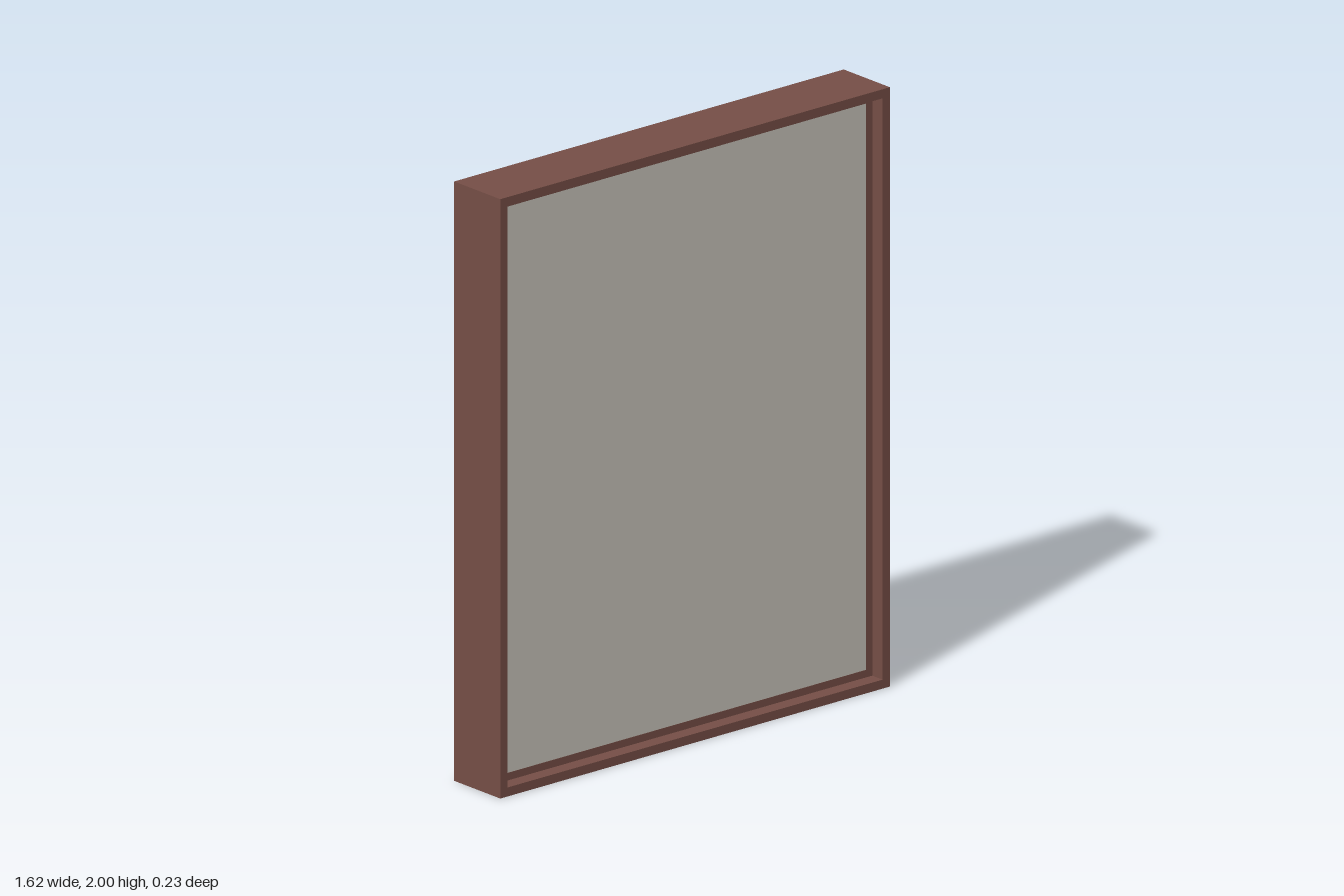
import * as THREE from 'three';

const HALF_W = 0.81, HEIGHT = 2;
const BACK = -0.105, FRONT = 0.117;

export function createModel() {
  const wood = new THREE.MeshStandardMaterial({ name: 'brown wood', color: 0x774f47 });
  const pale = new THREE.MeshStandardMaterial({ name: 'pale wood', color: 0xcdb28f });
  const pane = new THREE.MeshStandardMaterial({ name: 'pane grey', color: 0xcbc7be });
  const metal = new THREE.MeshStandardMaterial({ name: 'light metal', color: 0xcdcdc4 });

  const model = new THREE.Group();
  model.name = 'framedPanel';

  const add = (parent, name, geometry, material, x = 0, y = 0, z = 0) => {
    const mesh = new THREE.Mesh(geometry, material);
    mesh.name = name;
    mesh.position.set(x, y, z);
    parent.add(mesh);
    return mesh;
  };

  // Rectangle inset by a margin from the outer outline
  const rect = (C, m) => {
    const x = HALF_W - m, y0 = m, y1 = HEIGHT - m;
    return new C([[-x, y0], [x, y0], [x, y1], [-x, y1]].map(([a, b]) => new THREE.Vector2(a, b)));
  };

  // Rectangular ring between two margins, from depth z0 to z1
  const ring = (name, outer, inner, z0, z1, material) => {
    const shape = rect(THREE.Shape, outer);
    shape.holes.push(rect(THREE.Path, inner));
    const geometry = new THREE.ExtrudeGeometry(shape, { depth: z1 - z0, bevelEnabled: false });
    add(model, name, geometry, material, 0, 0, z0);
  };

  // Stepped frame: deep back body, narrow rebate, thin front lip
  ring('frameBody', 0, 0.19, BACK, 0.058, wood);
  ring('frameRebate', 0, 0.055, 0.058, 0.067, wood);
  ring('frontLip', 0, 0.03, 0.067, FRONT, wood);

  // Pale lining set a little way inside the back opening
  ring('innerLining', 0.19, 0.232, -0.07, 0.058, pale);

  // Panel seated in the rebate
  add(model, 'panel', new THREE.BoxGeometry(1.51, 1.89, 0.008), pane, 0, 1, 0.062);

  // Low arched pull: two feet and a bowed strap, built along x and rising along y
  const strapShape = new THREE.Shape();
  strapShape.moveTo(-0.083, 0);
  strapShape.lineTo(-0.083, 0.003);
  strapShape.lineTo(-0.07, 0.004);
  strapShape.quadraticCurveTo(-0.055, 0.0115, -0.035, 0.012);
  strapShape.lineTo(0.035, 0.012);
  strapShape.quadraticCurveTo(0.055, 0.0115, 0.07, 0.004);
  strapShape.lineTo(0.083, 0.003);
  strapShape.lineTo(0.083, 0);
  strapShape.lineTo(0.062, 0);
  strapShape.quadraticCurveTo(0.05, 0.008, 0.035, 0.0085);
  strapShape.lineTo(-0.035, 0.0085);
  strapShape.quadraticCurveTo(-0.05, 0.008, -0.062, 0);
  const strapGeometry = new THREE.ExtrudeGeometry(strapShape, { depth: 0.018, bevelEnabled: false, curveSegments: 5 });
  strapGeometry.translate(0, 0, -0.009).rotateX(-Math.PI / 2);
  const footGeometry = new THREE.BoxGeometry(0.022, 0.027, 0.004);
  const screwGeometry = new THREE.CylinderGeometry(0.005, 0.005, 0.003, 10).rotateX(Math.PI / 2);

  const addHandle = (name, x, y, turn) => {
    const handle = new THREE.Group();
    handle.name = name;
    handle.position.set(x, y, BACK);
    handle.rotation.z = turn;
    add(handle, 'strap', strapGeometry, metal);
    for (const s of [-1, 1]) {
      add(handle, 'foot', footGeometry, metal, s * 0.073, 0, -0.002);
      add(handle, 'screw', screwGeometry, metal, s * 0.075, 0, -0.005);
    }
    model.add(handle);
  };
  addHandle('topHandleLeft', 0.405, 1.935, 0);
  addHandle('topHandleRight', -0.405, 1.935, 0);
  addHandle('sideHandle', -0.745, 1, Math.PI / 2);

  return model;
}
